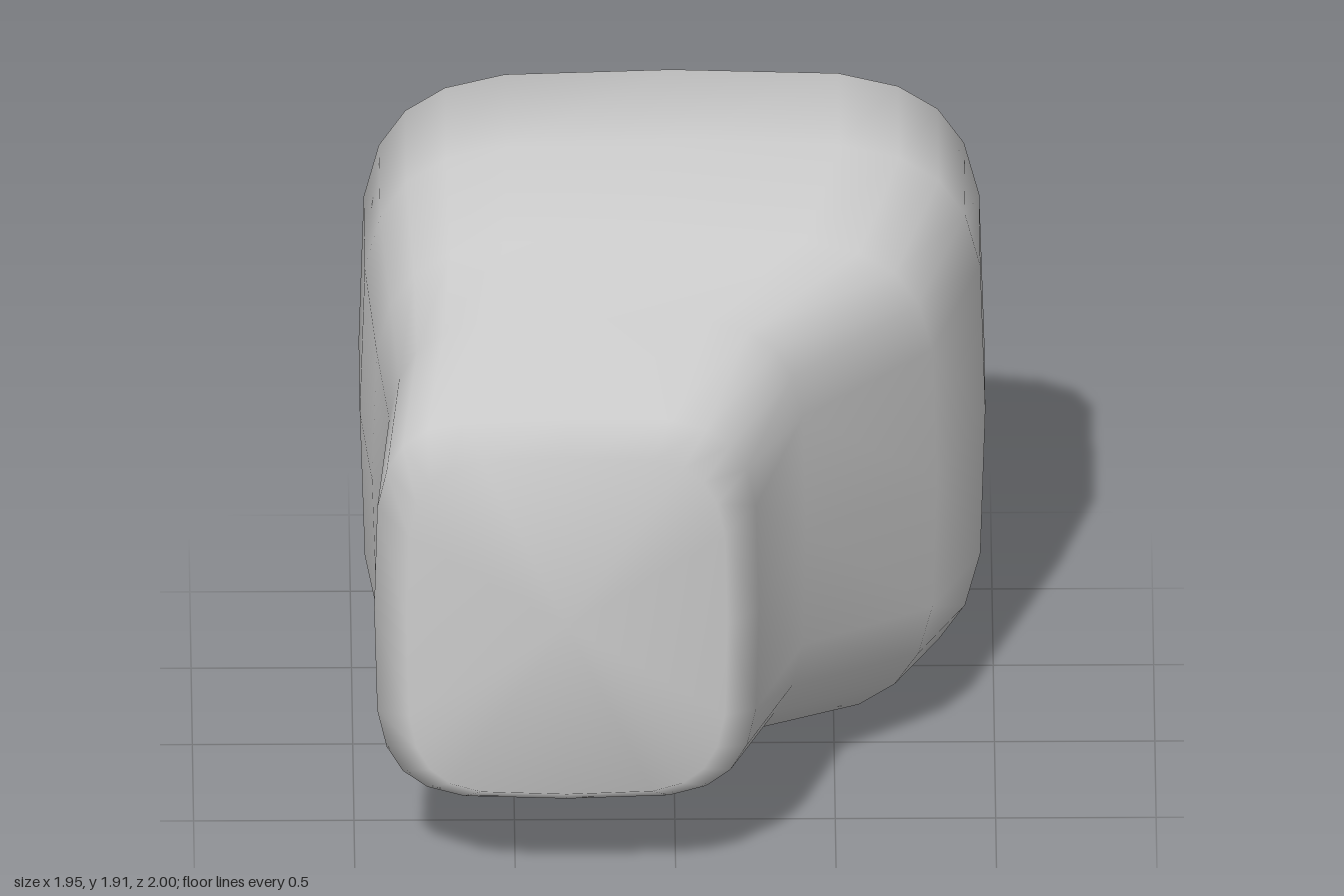
import * as THREE from 'three';

const SIDES = 24;
const ROUNDNESS = 0.466; // exponent of the squarish cross-section

// Cross-sections from back to front: z, left/right limits, bottom/top limits
const SECTIONS = [
  { z: -1.0, x: [-0.81, 0.79], y: [0.19, 1.73] },
  { z: -0.88, x: [-0.975, 0.975], y: [0.01, 1.92] },
  { z: -0.41, x: [-0.975, 0.975], y: [0.01, 1.92] },
  { z: 0.04, x: [-0.94, 0.82], y: [0.11, 1.82] },
  { z: 0.38, x: [-0.9, 0.41], y: [0.21, 1.72] },
  { z: 0.88, x: [-0.94, 0.26], y: [0.29, 1.64] },
  { z: 1.0, x: [-0.84, 0.16], y: [0.37, 1.56] },
];

const squash = (v) => (Math.abs(v) < 1e-9 ? 0 : Math.sign(v) * Math.abs(v) ** ROUNDNESS);

function loft(sections) {
  const positions = [];
  const index = [];
  const middle = ([a, b]) => (a + b) / 2;
  const half = ([a, b]) => (b - a) / 2;

  // Rings of points
  for (const s of sections) {
    for (let j = 0; j < SIDES; j++) {
      const t = (j / SIDES) * Math.PI * 2;
      positions.push(
        middle(s.x) + half(s.x) * squash(Math.cos(t)),
        middle(s.y) + half(s.y) * squash(Math.sin(t)),
        s.z
      );
    }
  }

  // Walls between neighbouring rings
  const last = sections.length - 1;
  for (let i = 0; i < last; i++) {
    for (let j = 0; j < SIDES; j++) {
      const k = (j + 1) % SIDES;
      const a = i * SIDES + j, b = i * SIDES + k;
      const c = b + SIDES, d = a + SIDES;
      index.push(a, b, c, a, c, d);
    }
  }

  // Flat end caps
  for (const i of [0, last]) {
    const s = sections[i];
    const centre = positions.length / 3;
    positions.push(middle(s.x), middle(s.y), s.z);
    for (let j = 0; j < SIDES; j++) {
      const a = i * SIDES + j, b = i * SIDES + ((j + 1) % SIDES);
      if (i === 0) index.push(centre, b, a);
      else index.push(centre, a, b);
    }
  }

  const geometry = new THREE.BufferGeometry();
  geometry.setAttribute('position', new THREE.Float32BufferAttribute(positions, 3));
  geometry.setIndex(index);
  geometry.computeVertexNormals();
  return geometry;
}

export function createModel() {
  const group = new THREE.Group();
  const body = new THREE.Mesh(loft(SECTIONS), new THREE.MeshStandardMaterial({ color: 0xcccccc }));
  body.name = 'taperedBody';
  group.add(body);
  return group;
}
